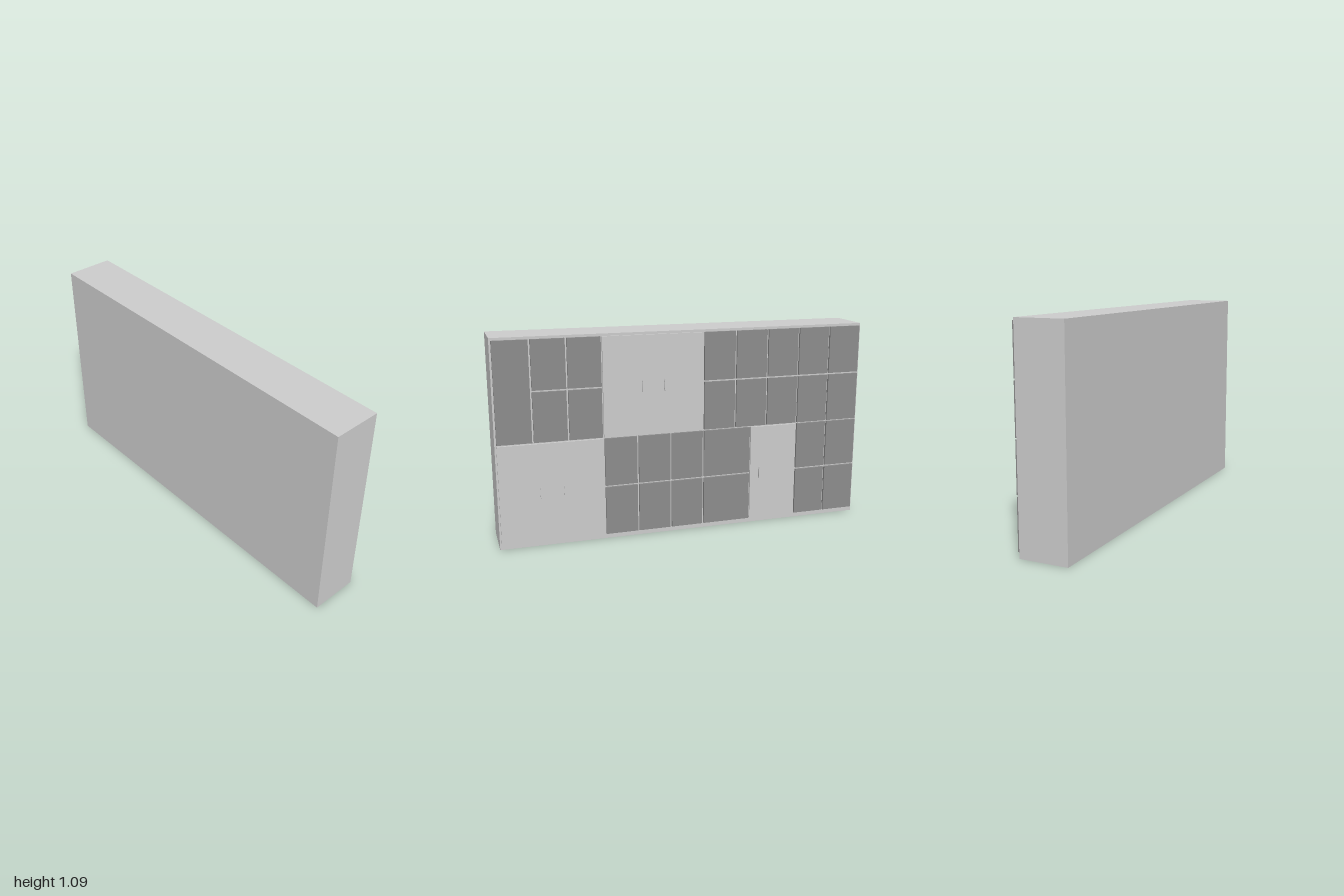
import * as THREE from 'three';

const FRONT = 0.115, DOOR = 0.0125, GAP = 0.009;
const grey = new THREE.MeshStandardMaterial({ color: 0xcccccc });
const dark = new THREE.MeshStandardMaterial({ color: 0x8c8c8c });

export function createModel() {
  const group = new THREE.Group();

  // Box given by its limits on each axis
  function box(name, x0, x1, y0, y1, z0, z1, material) {
    const mesh = new THREE.Mesh(new THREE.BoxGeometry(x1 - x0, y1 - y0, z1 - z0), material);
    mesh.position.set((x0 + x1) / 2, (y0 + y1) / 2, (z0 + z1) / 2);
    mesh.name = name;
    group.add(mesh);
  }

  // Front panel covering one bay, inset so the carcass shows around it
  function panel(name, zA, zB, y0, y1, material, gap) {
    box(name, FRONT, FRONT + DOOR, y0, y1, zB + gap / 2, zA - gap / 2, material);
  }

  // Slim oval pull
  const pull = new THREE.CylinderGeometry(1, 1, 0.011, 20).rotateZ(Math.PI / 2);
  function handle(y, z) {
    const mesh = new THREE.Mesh(pull, grey);
    mesh.scale.set(1, 0.033, 0.006);
    mesh.position.set(FRONT + DOOR + 0.0055, y, z);
    mesh.name = 'handle';
    group.add(mesh);
  }

  // Carcass
  box('carcass', -0.14, FRONT, 0, 1.088, -1, 1, grey);

  // Columns of dark panes as [left, right] limits along z
  const upper = [[0.81, 0.63], [0.63, 0.45], [-0.09, -0.27], [-0.27, -0.45],
    [-0.45, -0.63], [-0.63, -0.81], [-0.81, -0.995]];
  const lower = [[0.45, 0.27], [0.27, 0.09], [0.09, -0.09], [-0.09, -0.36],
    [-0.63, -0.81], [-0.81, -0.995]];

  panel('tallPane', 0.995, 0.81, 0.555, 1.075, dark, GAP);
  for (const [a, b] of upper) {
    panel('upperPane', a, b, 0.555, 0.812, dark, GAP);
    panel('upperPane', a, b, 0.821, 1.075, dark, GAP);
  }
  for (const [a, b] of lower) {
    panel('lowerPane', a, b, 0.027, 0.285, dark, GAP);
    panel('lowerPane', a, b, 0.294, 0.548, dark, GAP);
  }

  // Solid doors
  panel('upperDoor', 0.45, -0.09, 0.555, 1.075, grey, 0.004);
  panel('lowerDoor', 0.993, 0.45, 0.027, 0.548, grey, 0.004);
  panel('narrowDoor', -0.36, -0.63, 0.027, 0.548, grey, 0.004);

  for (const z of [0.24, 0.122]) handle(0.812, z);
  for (const z of [0.78, 0.66, -0.415]) handle(0.288, z);

  return group;
}
